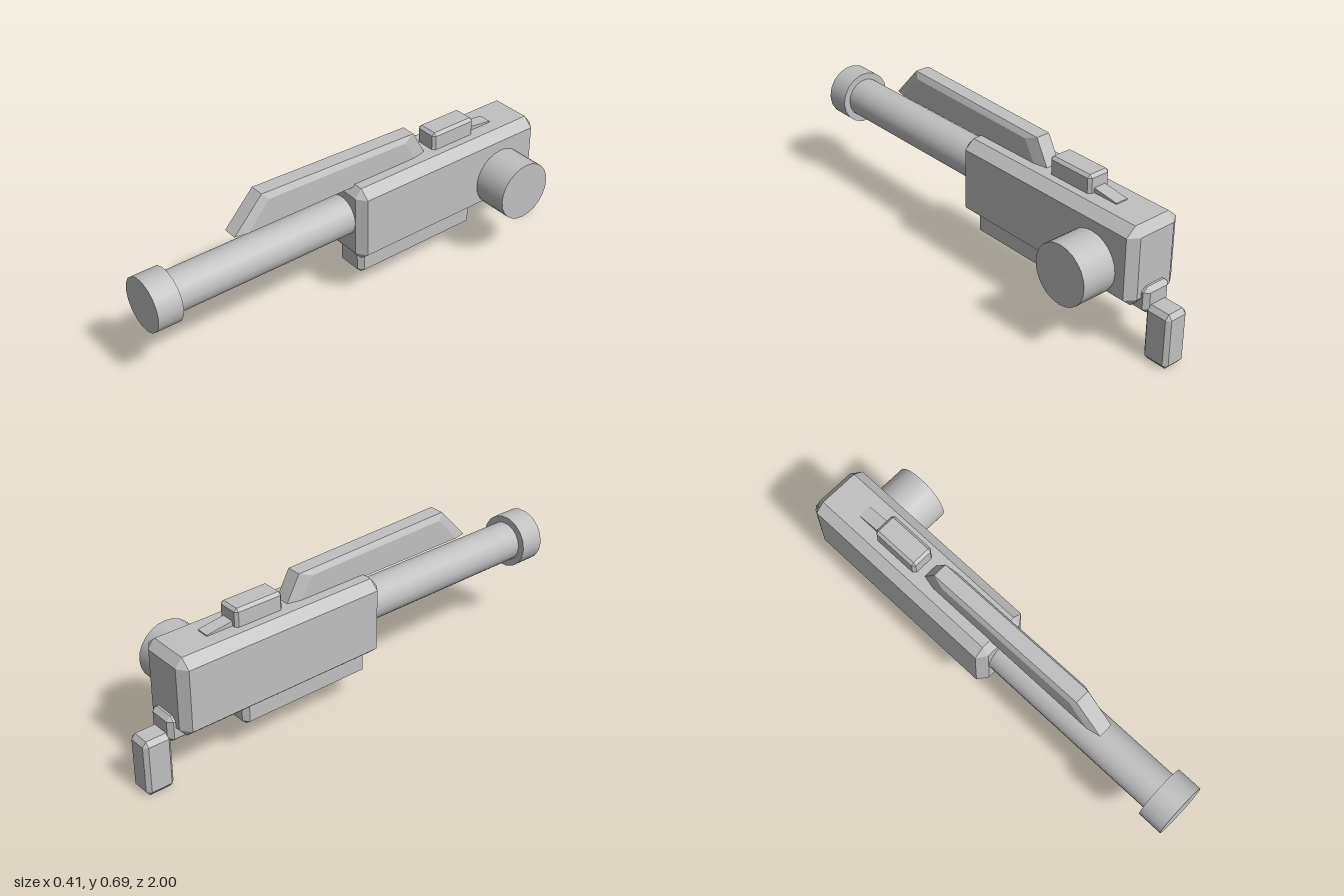
import * as THREE from 'three';
import { ConvexGeometry } from 'three/addons/geometries/ConvexGeometry.js';

const AXIS_X = -0.077; // centre line of the long parts

// Box with chamfered edges and corners, from min/max corners and inset per axis
function chamferBox([x0, y0, z0], [x1, y1, z1], [cx, cy, cz]) {
  const points = [];
  for (const sx of [-1, 1]) for (const sy of [-1, 1]) for (const sz of [-1, 1]) {
    const x = sx < 0 ? x0 : x1, y = sy < 0 ? y0 : y1, z = sz < 0 ? z0 : z1;
    const ix = x - sx * cx, iy = y - sy * cy, iz = z - sz * cz;
    points.push(new THREE.Vector3(x, iy, iz), new THREE.Vector3(ix, y, iz), new THREE.Vector3(ix, iy, z));
  }
  return new ConvexGeometry(points);
}

// Convex plate from side profiles [z, y], each mirrored at its own half width
function profileSolid(centreX, layers) {
  const points = [];
  for (const { half, profile } of layers)
    for (const [z, y] of profile)
      for (const s of [-1, 1]) points.push(new THREE.Vector3(centreX + s * half, y, z));
  return new ConvexGeometry(points);
}

export function createModel() {
  const group = new THREE.Group();
  const grey = new THREE.MeshStandardMaterial({ color: 0xc0c0c0 });
  grey.name = 'plain grey';

  const add = (name, geometry) => {
    const mesh = new THREE.Mesh(geometry, grey);
    mesh.name = name;
    group.add(mesh);
    return mesh;
  };

  // Main housing and the blocks attached to it
  add('body', chamferBox([-0.205, 0.229, -0.87], [0.05, 0.565, 0.075], [0.042, 0.037, 0.03]));
  add('underBlock', chamferBox([-0.15, 0.133, -0.565], [-0.004, 0.26, 0.04], [0.022, 0.018, 0.02]));
  add('rearBracket', chamferBox([-0.141, 0.2, -0.897], [-0.013, 0.31, -0.65], [0.02, 0.018, 0.018]));
  add('rearGrip', chamferBox([-0.129, 0, -1], [-0.025, 0.24, -0.88], [0.016, 0.02, 0.016]));
  add('topSight', chamferBox([-0.129, 0.54, -0.575], [-0.025, 0.64, -0.358], [0.012, 0.012, 0.012]));

  // Small wedge behind the sight
  add('sightWedge', profileSolid(AXIS_X, [
    { half: 0.028, profile: [[-0.56, 0.55], [-0.56, 0.587], [-0.69, 0.57], [-0.69, 0.55]] },
  ]));

  // Long bevelled rail above the barrel
  add('topRail', profileSolid(AXIS_X, [
    { half: 0.031, profile: [[0.605, 0.553], [0.475, 0.693], [-0.265, 0.672], [-0.33, 0.553]] },
    { half: 0.044, profile: [[0.55, 0.555], [0.45, 0.667], [-0.21, 0.652], [-0.27, 0.555]] },
  ]));

  // Barrel and muzzle along z
  const rod = (name, radius, z0, z1) => {
    const geometry = new THREE.CylinderGeometry(radius, radius, z1 - z0, 18, 1, false, Math.PI / 2);
    geometry.rotateX(Math.PI / 2);
    add(name, geometry).position.set(AXIS_X, 0.411, (z0 + z1) / 2);
  };
  rod('barrel', 0.085, 0, 0.92);
  rod('muzzle', 0.114, 0.893, 1);

  // Round drum on the left side
  const drum = new THREE.CylinderGeometry(0.127, 0.127, 0.24, 24);
  drum.rotateZ(Math.PI / 2);
  add('sideDrum', drum).position.set(0.084, 0.357, -0.667);

  return group;
}
